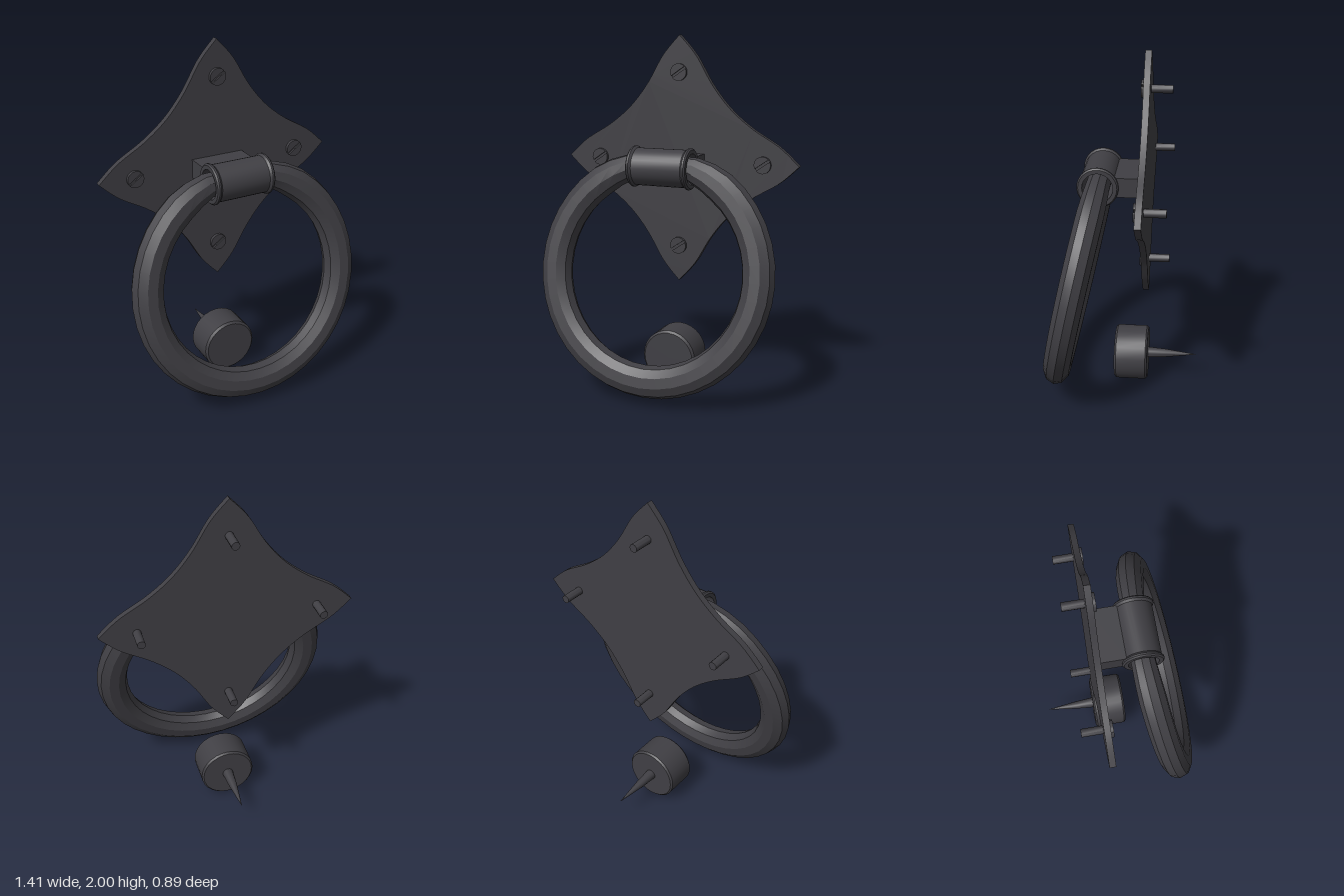
import * as THREE from 'three';
import { toCreasedNormals } from 'three/addons/utils/BufferGeometryUtils.js';

const iron = new THREE.MeshStandardMaterial({ color: 0x403f44 });
iron.name = 'dark iron';

function part(name, geometry, parent, x = 0, y = 0, z = 0) {
  const mesh = new THREE.Mesh(toCreasedNormals(geometry, 0.55), iron);
  mesh.name = name;
  mesh.position.set(x, y, z);
  parent.add(mesh);
  return mesh;
}

// Lathe from [radius, height] pairs, with its axis turned from y to z
const turned = (profile, sides) =>
  new THREE.LatheGeometry(profile.map(([r, h]) => new THREE.Vector2(r, h)), sides).rotateX(Math.PI / 2);

// Four-pointed plate with S-curved edges
function plateGeometry() {
  const edge = [[0.1, 0.593], [0.196, 0.434], [0.303, 0.303], [0.434, 0.196], [0.593, 0.1], [0.705, 0]];
  const shape = new THREE.Shape().moveTo(0, 0.705);
  for (let q = 0; q < 4; q++) {
    const c = Math.round(Math.cos(q * Math.PI / 2)), s = Math.round(Math.sin(q * Math.PI / 2));
    shape.splineThru(edge.map(([x, y]) => new THREE.Vector2(x * c + y * s, y * c - x * s)));
  }
  return new THREE.ExtrudeGeometry(shape, { depth: 0.035, bevelEnabled: false, curveSegments: 4 });
}

// Slotted screw: shank, disc, and two raised half heads
function addScrew(parent, x, y) {
  const screw = new THREE.Group();
  screw.name = 'screw';
  screw.position.set(x, y, -0.11);
  parent.add(screw);
  part('screwShank', turned([[0, -0.15], [0.023, -0.15], [0.023, 0], [0, 0]], 12), screw);
  part('screwHead', turned([[0, -0.005], [0.048, -0.005], [0.048, 0.008], [0, 0.008]], 20), screw);
  const half = new THREE.Shape().absarc(0, 0, 0.048, 0.14, Math.PI - 0.14);
  for (const turn of [0.6, 0.6 + Math.PI]) {
    const g = new THREE.ExtrudeGeometry(half, { depth: 0.01, bevelEnabled: false, curveSegments: 10 });
    part('screwHeadHalf', g.rotateZ(turn), screw, 0, 0, 0.008);
  }
}

// Ring: a torus made slimmer and flatter where it passes through the collar
function ringGeometry() {
  const R = 0.6, tube = 0.09;
  const g = new THREE.TorusGeometry(R, tube, 10, 40).rotateZ(Math.PI / 2);
  const p = g.attributes.position;
  for (let i = 0; i < p.count; i++) {
    const x = p.getX(i), y = p.getY(i);
    const angle = Math.atan2(x, y);
    const t = THREE.MathUtils.smoothstep(Math.abs(angle), 0.2, 0.65);
    const radial = R + (Math.hypot(x, y) - R) * THREE.MathUtils.lerp(0.068, 0.09, t) / tube;
    const cy = R * Math.cos(angle);
    const drop = Math.min(cy, 0.575) - cy;
    p.setXYZ(i, radial * Math.sin(angle), radial * Math.cos(angle) + drop,
      p.getZ(i) * THREE.MathUtils.lerp(0.067, 0.077, t) / tube);
  }
  return g.translate(0, -0.575, 0);
}

export function createModel() {
  const model = new THREE.Group();
  model.name = 'doorKnocker';

  // Back plate and its screws
  part('backPlate', plateGeometry(), model, 0, 1.295, -0.145);
  for (const [x, y] of [[0, 1.795], [0.5, 1.295], [-0.5, 1.295], [0, 0.8]]) addScrew(model, x, y);

  // Mount block and hollow collar
  part('mountBlock', new THREE.BoxGeometry(0.31, 0.11, 0.155), model, 0, 1.285, -0.037);
  const collar = [[0.084, -0.175], [0.106, -0.175], [0.114, -0.167], [0.114, -0.157], [0.104, -0.145],
    [0.104, 0.145], [0.114, 0.157], [0.114, 0.167], [0.106, 0.175], [0.084, 0.175], [0.084, -0.175]];
  part('collar', turned(collar, 28).rotateY(Math.PI / 2), model, 0, 1.285, 0.13);

  // Hanging ring, swung forward
  part('ring', ringGeometry(), model, 0, 1.285, 0.13).rotation.x = -0.21;

  // Striker with its spike
  const striker = new THREE.Group();
  striker.name = 'striker';
  striker.position.set(0, 0.163, 0);
  model.add(striker);
  part('strikerHead', turned([[0, -0.145], [0.15, -0.145], [0.16, -0.135], [0.16, 0.037],
    [0.148, 0.049], [0, 0.049]], 28), striker);
  part('strikerSpike', turned([[0, -0.44], [0.024, -0.25], [0.032, -0.14], [0, -0.14]], 14), striker);

  return model;
}
